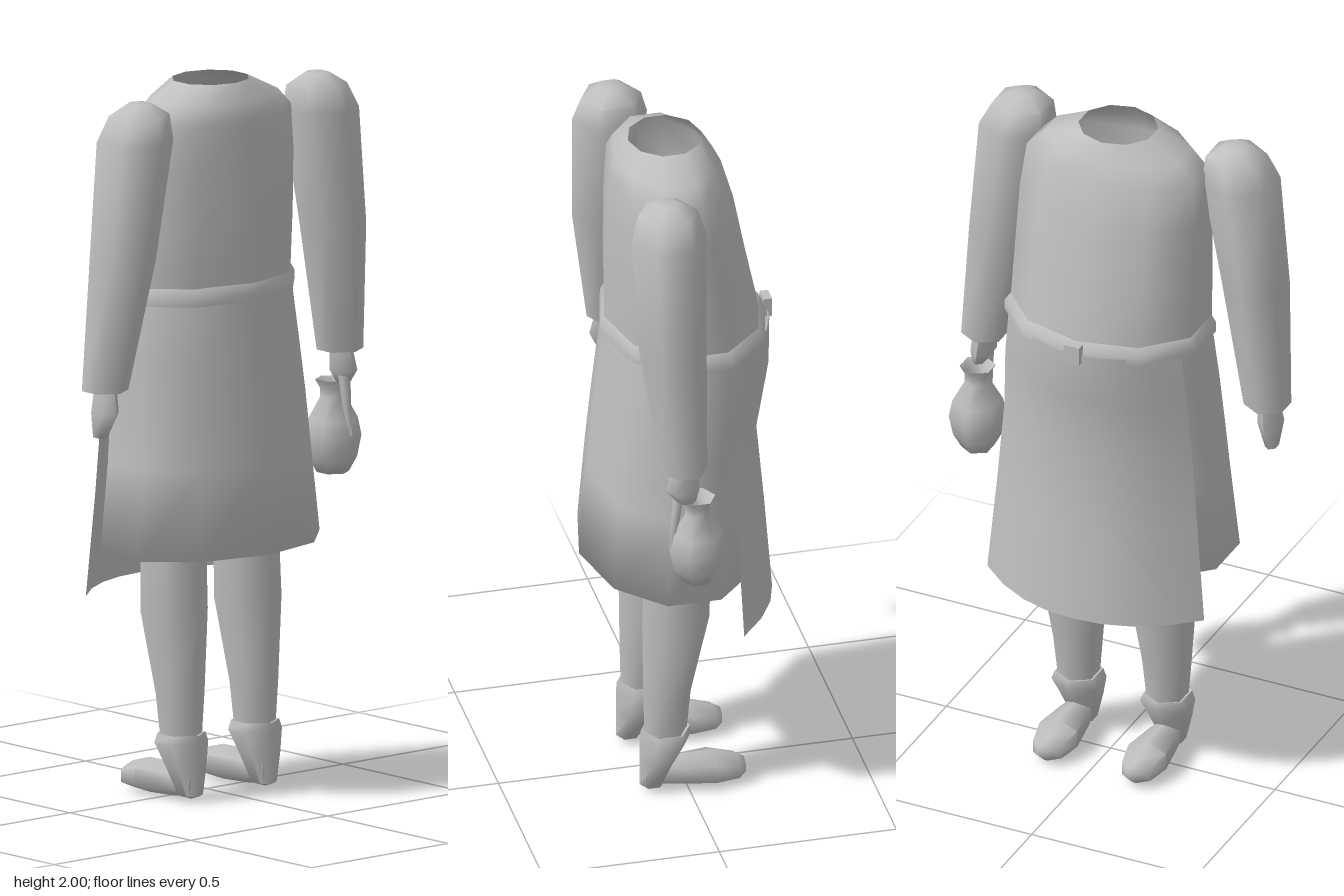
import * as THREE from 'three';
import { toCreasedNormals } from 'three/addons/utils/BufferGeometryUtils.js';

const MID = -0.01; // centre line of the body

// Skin over rings listed bottom to top: [x, y, z, radiusX, radiusZ]
function loft(rings, sides, creased = true) {
  const pos = [], idx = [];
  rings.forEach(([x, y, z, rx, rz], i) => {
    for (let j = 0; j < sides; j++) {
      const a = (j / sides) * Math.PI * 2;
      pos.push(x + rx * Math.sin(a), y, z + rz * Math.cos(a));
      if (i === 0) continue;
      const k = (j + 1) % sides, p = (i - 1) * sides, q = i * sides;
      idx.push(p + j, p + k, q + k, p + j, q + k, q + j);
    }
  });
  const geo = new THREE.BufferGeometry();
  geo.setAttribute('position', new THREE.Float32BufferAttribute(pos, 3));
  geo.setIndex(idx);
  geo.computeVertexNormals();
  return creased ? toCreasedNormals(geo, 1.2) : geo;
}

// Ring around the body given by half width and its z limits
const bodyRing = (y, rx, zBack, zFront) => [MID, y, (zBack + zFront) / 2, rx, (zBack - zFront) / 2];

// Curved open sheet: rows of [y, half width, z at edge, z in the middle]
function apronSheet(rows, cols) {
  const pos = [], idx = [];
  rows.forEach(([y, w, edge, mid], i) => {
    for (let j = 0; j <= cols; j++) {
      const u = (j / cols) * 2 - 1;
      pos.push(MID + u * w, y, mid + (edge - mid) * Math.pow(Math.abs(u), 2.2));
      if (i === 0 || j === 0) continue;
      const b = i * (cols + 1) + j, a = b - cols - 1;
      idx.push(a - 1, a, b, a - 1, b, b - 1);
    }
  });
  const geo = new THREE.BufferGeometry();
  geo.setAttribute('position', new THREE.Float32BufferAttribute(pos, 3));
  geo.setIndex(idx);
  geo.computeVertexNormals();
  return geo;
}

export function createModel() {
  const group = new THREE.Group();
  const grey = new THREE.MeshStandardMaterial({ color: 0xbfbfbf, side: THREE.DoubleSide });
  grey.name = 'plain grey';
  const add = (name, geo) => {
    const mesh = new THREE.Mesh(geo, grey);
    mesh.name = name;
    group.add(mesh);
    return mesh;
  };

  // Torso with an open neck
  add('torso', loft([
    bodyRing(1.42, 0.288, 0.2, -0.238),
    bodyRing(1.6, 0.285, 0.2, -0.2),
    bodyRing(1.78, 0.28, 0.195, -0.165),
    bodyRing(1.9, 0.268, 0.185, -0.13),
    bodyRing(1.95, 0.215, 0.17, -0.105),
    bodyRing(2.0, 0.112, 0.132, -0.075),
  ], 10, false));

  // Skirt, hem turned inwards
  add('skirt', loft([
    bodyRing(0.95, 0.315, 0.235, -0.19),
    bodyRing(0.7, 0.352, 0.27, -0.218),
    bodyRing(0.95, 0.325, 0.25, -0.205),
    bodyRing(1.1, 0.312, 0.235, -0.2),
    bodyRing(1.25, 0.305, 0.22, -0.23),
    bodyRing(1.43, 0.288, 0.2, -0.238),
  ], 10, false));

  // Apron hanging over the skirt
  add('apron', apronSheet([
    [0.57, 0.33, -0.115, -0.262],
    [0.85, 0.305, -0.105, -0.24],
    [1.1, 0.285, -0.1, -0.217],
    [1.28, 0.275, -0.115, -0.255],
    [1.42, 0.262, -0.12, -0.258],
  ], 8));

  // Belt and its buckle
  add('belt', loft([
    bodyRing(1.4, 0.287, 0.2, -0.24),
    bodyRing(1.4, 0.302, 0.212, -0.256),
    bodyRing(1.428, 0.302, 0.212, -0.256),
    bodyRing(1.45, 0.287, 0.2, -0.237),
  ], 10));
  add('buckle', new THREE.BoxGeometry(0.048, 0.055, 0.024)).position.set(MID, 1.423, -0.258);

  for (const s of [-1, 1]) {
    const side = s > 0 ? 'left' : 'right';
    const at = (x) => MID + s * x;

    // Sleeve with a rounded shoulder and closed cuff
    add(side + 'Sleeve', loft([
      [at(0.43), 1.21, 0.078, 0, 0],
      [at(0.43), 1.19, 0.078, 0.066, 0.064],
      [at(0.385), 1.55, 0.1, 0.092, 0.095],
      [at(0.34), 1.88, 0.1, 0.108, 0.106],
      [at(0.325), 1.95, 0.1, 0.085, 0.085],
      [at(0.325), 1.982, 0.1, 0.035, 0.035],
      [at(0.325), 1.984, 0.1, 0, 0],
    ], 6));

    // Hand: hanging open on one side, closed round the jug on the other
    const tip = s > 0 ? 1.09 : 1.055;
    add(side + 'Hand', loft([
      [at(0.445), tip, 0.075, 0, 0],
      [at(0.445), tip + 0.005, 0.075, 0.018, 0.025],
      [at(0.437), 1.13, 0.085, 0.034, 0.048],
      [at(0.43), 1.21, 0.08, 0.028, 0.034],
    ], 6));

    // Stocking leg
    add(side + 'Leg', loft([
      [at(0.135), 0.15, 0.06, 0.055, 0.058],
      [at(0.135), 0.3, 0.055, 0.069, 0.067],
      [at(0.135), 0.53, 0.03, 0.094, 0.095],
      [at(0.133), 0.72, 0.025, 0.09, 0.095],
      [at(0.125), 1.0, 0.015, 0.095, 0.09],
    ], 6));

    // Ankle of the shoe, narrowing towards the heel
    const shoe = at(0.135);
    add(side + 'ShoeAnkle', loft([
      [shoe, 0.01, 0.1, 0, 0],
      [shoe, 0.02, 0.098, 0.035, 0.034],
      [shoe, 0.1, 0.08, 0.06, 0.052],
      [shoe, 0.165, 0.06, 0.077, 0.072],
      [shoe, 0.19, 0.06, 0.066, 0.07],
      [shoe, 0.185, 0.06, 0.05, 0.05],
    ], 6));

    // Foot running forward to the toe
    const foot = loft([
      [shoe, -0.125, 0.055, 0, 0],
      [shoe, -0.12, 0.055, 0.03, 0.036],
      [shoe, -0.03, 0.055, 0.048, 0.047],
      [shoe, 0.07, 0.052, 0.066, 0.049],
      [shoe, 0.14, 0.044, 0.05, 0.037],
      [shoe, 0.162, 0.045, 0.028, 0.023],
      [shoe, 0.165, 0.045, 0, 0],
    ], 6);
    add(side + 'Foot', foot.rotateX(-Math.PI / 2));
  }

  // Jug carried in the left hand
  const jug = [[0.84, 0], [0.84, 0.045], [0.88, 0.068], [0.94, 0.08], [0.99, 0.07],
    [1.05, 0.036], [1.075, 0.036], [1.1, 0.05], [1.085, 0.03], [1.04, 0.025]];
  add('jug', loft(jug.map(([y, r]) => [0.425, y, 0.043, r, r]), 6));

  // Finger lying along the jug
  add('finger', loft([
    [0.425, 0.95, 0.118, 0.004, 0.006],
    [0.422, 1.03, 0.105, 0.012, 0.012],
    [0.42, 1.12, 0.095, 0.018, 0.016],
  ], 6));

  return group;
}
